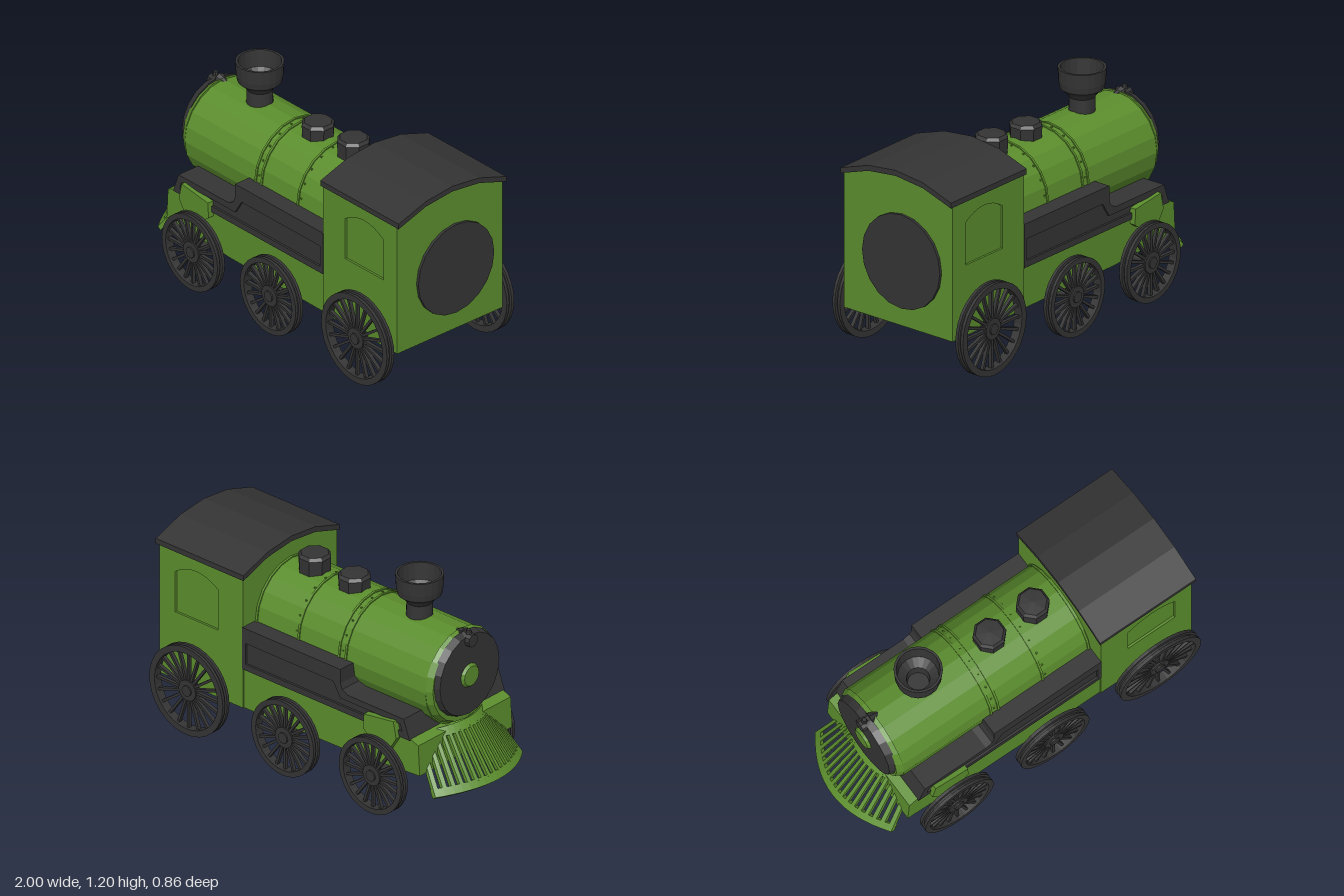
import * as THREE from 'three';
import { mergeGeometries } from 'three/addons/utils/BufferGeometryUtils.js';

const green = new THREE.MeshStandardMaterial({ color: 0x5b8d2d });
green.name = 'leaf green';
const dark = new THREE.MeshStandardMaterial({ color: 0x343434 });
dark.name = 'charcoal';

// Faceted copy of a geometry
function flat(geo) {
  const g = geo.index ? geo.toNonIndexed() : geo;
  g.computeVertexNormals();
  return g;
}

const shapeOf = (pts) => new THREE.Shape(pts.map(([x, y]) => new THREE.Vector2(x, y)));

function slab(shape, depth, z = 0) {
  return new THREE.ExtrudeGeometry(shape, { depth, bevelEnabled: false, curveSegments: 8 }).translate(0, 0, z);
}

// Cylinder lying along x from x0 to x1
function rodX(r0, r1, x0, x1, y, sides, z = 0) {
  return new THREE.CylinderGeometry(r1, r0, x1 - x0, sides).rotateZ(-Math.PI / 2).translate((x0 + x1) / 2, y, z);
}

export function createModel() {
  const model = new THREE.Group();
  model.name = 'steamLocomotive';

  function add(name, geo, mat, parent = model) {
    const mesh = new THREE.Mesh(flat(geo), mat);
    mesh.name = name;
    parent.add(mesh);
    return mesh;
  }

  // Chassis
  add('chassis', slab(shapeOf([[-0.78, 0.28], [-0.3, 0.25], [0.42, 0.24], [0.97, 0.24],
    [0.97, 0.47], [-0.72, 0.47], [-0.77, 0.45]]), 0.7, -0.35), green);
  add('drainPlug', new THREE.CylinderGeometry(0.025, 0.025, 0.03, 6).translate(0.86, 0.23, 0), green);

  // Boiler with riveted bands
  const by = 0.705, br = 0.263;
  add('boiler', rodX(br, br, -0.74, 0.42, by, 20), green);
  add('boilerNose', rodX(0.245, br, -0.775, -0.74, by + 0.01, 20), green);
  const bands = [], rivets = [];
  for (const x of [-0.2, -0.155, 0.12, 0.405]) {
    bands.push(rodX(br + 0.006, br + 0.006, x - 0.006, x + 0.006, by, 20));
  }
  for (const x of [-0.178, 0.138]) {
    for (let i = 0; i < 20; i++) {
      const a = ((i + 0.5) / 20) * Math.PI * 2;
      rivets.push(new THREE.BoxGeometry(0.008, 0.008, 0.008)
        .translate(x, by + Math.cos(a) * (br - 0.002), Math.sin(a) * (br - 0.002)));
    }
  }
  add('boilerBands', mergeGeometries(bands), green);
  add('boilerRivets', mergeGeometries(rivets), green);

  // Smokebox door, knob and lamp
  add('smokeboxDoor', rodX(0.225, 0.24, -0.805, -0.765, 0.735, 20), dark);
  add('doorKnob', rodX(0.055, 0.07, -0.82, -0.8, 0.73, 14), green);
  add('lamp', rodX(0.035, 0.042, -0.83, -0.77, 0.935, 10), dark);
  add('lampTail', rodX(0.036, 0.002, -0.77, -0.69, 0.955, 8), dark);
  add('lampCap', new THREE.CylinderGeometry(0.012, 0.02, 0.03, 8).translate(-0.8, 0.975, 0), dark);

  // Chimney
  const chimney = [[0.07, 0.93], [0.067, 1.035], [0.085, 1.06], [0.115, 1.085], [0.121, 1.12], [0.125, 1.195],
    [0.112, 1.195], [0.105, 1.1], [0.06, 1.06], [0.055, 1.0], [0, 1.0]];
  add('chimney', new THREE.LatheGeometry(chimney.map(([x, y]) => new THREE.Vector2(x, y)), 20)
    .translate(-0.465, 0, 0), dark);

  // Steam domes
  for (const [x, top] of [[-0.022, 1.04], [0.247, 1.06]]) {
    const profile = [[0.084, 0.92], [0.088, top - 0.02], [0.074, top - 0.004], [0, top]];
    add('steamDome', new THREE.LatheGeometry(profile.map(([r, y]) => new THREE.Vector2(r, y)), 8)
      .rotateY(Math.PI / 8).translate(x, 0, 0), dark);
  }

  // Cab: core, framed side walls and arched roof (profiles drawn in z and y, run along x)
  const arch = [[-0.365, 0.978], [-0.18, 1.04], [0, 1.06], [0.18, 1.04], [0.365, 0.978]];
  const alongX = (pts, x0, x1) => slab(shapeOf(pts), x1 - x0).rotateY(Math.PI / 2).translate(x0, 0, 0);
  add('cab', alongX([[-0.345, 0.24], [0.345, 0.24], [0.345, 0.985], [0.18, 1.04], [0, 1.06],
    [-0.18, 1.04], [-0.345, 0.985]], 0.415, 0.98), green);
  add('cabRoof', alongX([...arch, ...arch.map(([z, y]) => [z, y + 0.03]).reverse()], 0.405, 1), dark);
  const wall = shapeOf([[0.415, 0.24], [0.98, 0.24], [0.98, 0.982], [0.415, 0.982]]);
  const win = new THREE.Path();
  win.moveTo(0.585, 0.627);
  win.lineTo(0.875, 0.627);
  win.lineTo(0.875, 0.86);
  win.quadraticCurveTo(0.73, 0.96, 0.585, 0.86);
  win.closePath();
  wall.holes.push(win);

  // Rear hatch
  add('rearHatch', rodX(0.257, 0.257, 0.975, 0.995, 0.597, 20, -0.03), dark);

  // Stepped side tanks with recessed panels, and front wheel guards
  const tankPts = [[-0.72, 0.465], [0.418, 0.465], [0.418, 0.705], [-0.25, 0.705], [-0.25, 0.625],
    [-0.263, 0.595], [-0.3, 0.575], [-0.68, 0.575]];
  const frame = shapeOf(tankPts);
  frame.holes.push(new THREE.Path([[-0.67, 0.5], [0.395, 0.5], [0.395, 0.62], [-0.2, 0.62],
    [-0.25, 0.54], [-0.655, 0.54]].map(([x, y]) => new THREE.Vector2(x, y))));
  const guard = shapeOf([[-0.65, 0.46], [-0.6, 0.38], [-0.45, 0.42], [-0.425, 0.44], [-0.43, 0.525], [-0.63, 0.552]]);
  for (const s of [1, -1]) {
    const side = (shape, z0, z1) => slab(shape, z1 - z0, s > 0 ? z0 : -z1);
    add('cabWall', side(wall, 0.345, 0.357), green);
    add('sideTank', side(shapeOf(tankPts), 0.12, 0.348), dark);
    add('sideTankFrame', side(frame, 0.348, 0.36), dark);
    add('wheelGuard', side(guard, 0.34, 0.383), green);
  }

  // Spoked wheels and axles
  function wheel(r) {
    const h = 0.025;
    const rim = [[r * 0.86, -h], [r, -h], [r, -0.008], [r - 0.012, -0.005], [r - 0.012, 0.005],
      [r, 0.008], [r, h], [r * 0.86, h], [r * 0.86, -h]];
    const parts = [
      new THREE.LatheGeometry(rim.map(([x, y]) => new THREE.Vector2(x, y)), 32).rotateX(Math.PI / 2),
      new THREE.CylinderGeometry(0.058, 0.058, 0.034, 16).rotateX(Math.PI / 2),
      new THREE.CylinderGeometry(0.03, 0.03, 0.05, 12).rotateX(Math.PI / 2),
    ];
    for (let i = 0; i < 20; i++) {
      const len = r * 0.88 - 0.045;
      parts.push(new THREE.BoxGeometry(0.014, len, 0.02)
        .translate(0, 0.045 + len / 2, 0).rotateZ((i / 20) * Math.PI * 2));
    }
    return mergeGeometries(parts);
  }
  for (const [label, x, r, y] of [['front', -0.515, 0.212, 0.217], ['middle', 0.08, 0.212, 0.217],
    ['rear', 0.735, 0.25, 0.25]]) {
    const set = new THREE.Group();
    set.name = label + 'WheelSet';
    set.position.set(x, y, 0);
    model.add(set);
    add('axle', new THREE.CylinderGeometry(0.024, 0.024, 0.8, 12).rotateX(Math.PI / 2), dark, set);
    for (const s of [1, -1]) add('wheel', wheel(r).translate(0, 0, s * 0.406), dark, set);
  }

  // Slatted plough: boxes warped onto a curved, sloping fan (t across, s down the slope)
  function ploughPiece(t0, t1, s0, s1, thick, cuts = 1) {
    const g = new THREE.BoxGeometry(1, 1, 1, cuts, 1, 1);
    const p = g.attributes.position;
    for (let i = 0; i < p.count; i++) {
      const t = t0 + (p.getX(i) + 0.5) * (t1 - t0);
      const s = s0 + (p.getY(i) + 0.5) * (s1 - s0);
      const d = (p.getZ(i) + 0.5) * thick;
      p.setXYZ(i,
        THREE.MathUtils.lerp(-0.79 + 0.12 * t * t, -1 + 0.13 * t * t, s) + d * 0.8,
        THREE.MathUtils.lerp(0.48 - 0.03 * t * t, 0.2 - 0.02 * t * t, s) - d * 0.6,
        THREE.MathUtils.lerp(0.25, 0.33, s) * t);
    }
    return g;
  }
  const plough = [ploughPiece(-1, 1, 0, 0.14, 0.03, 16), ploughPiece(-1, 1, 0.87, 1, 0.025, 16)];
  const slats = 17;
  for (let i = 0; i < slats; i++) {
    const t = -0.97 + (1.94 * i) / (slats - 1);
    plough.push(ploughPiece(t - 0.03, t + 0.03, 0.1, 0.9, 0.02));
  }
  add('plough', mergeGeometries(plough), green);

  return model;
}
